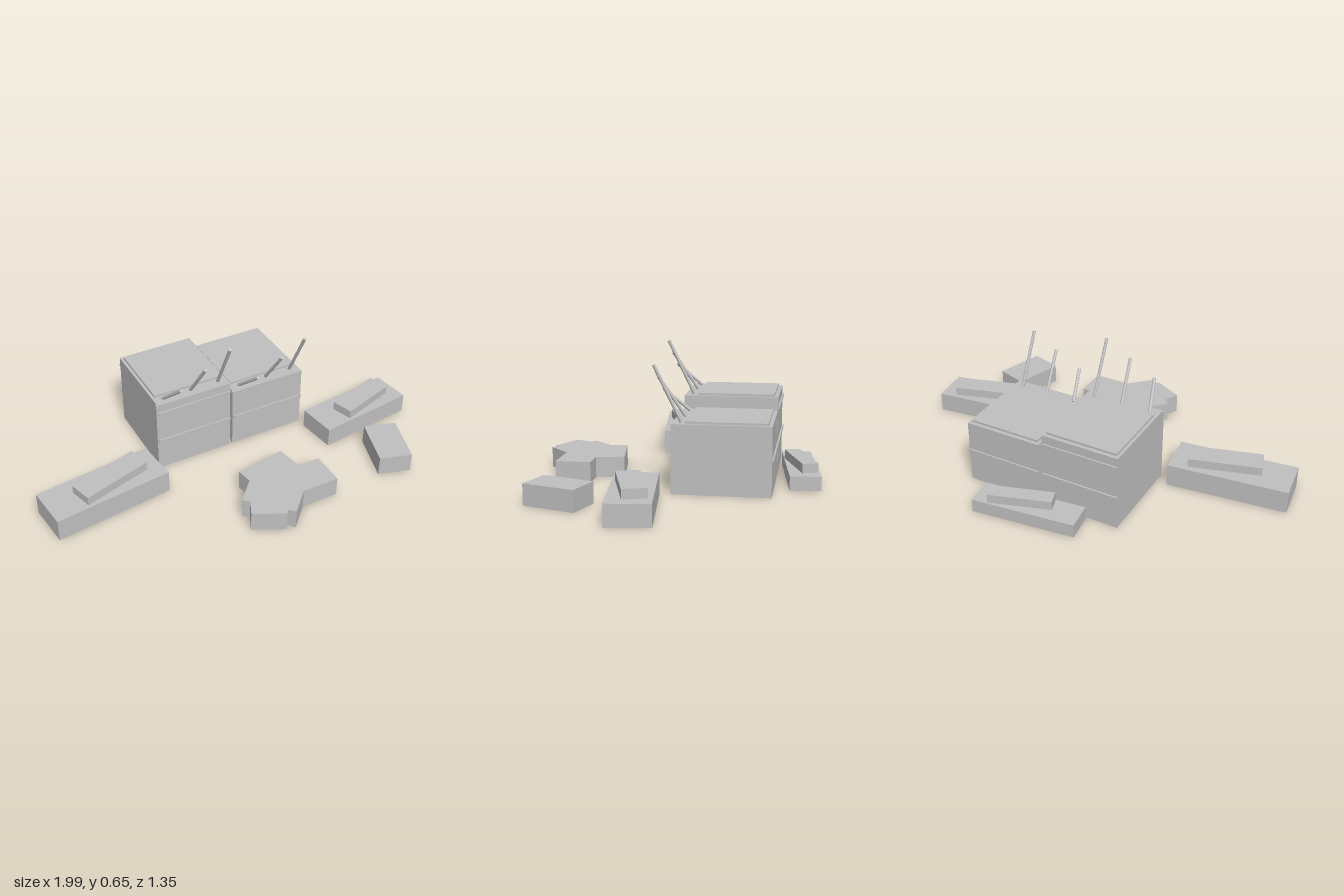
import * as THREE from 'three';

export function createModel() {
  const model = new THREE.Group();
  const grey = new THREE.MeshStandardMaterial({ color: 0xc0c0c0 });
  grey.name = 'stone grey';

  const add = (name, geometry, parent = model) => {
    const mesh = new THREE.Mesh(geometry, grey);
    mesh.name = name;
    parent.add(mesh);
    return mesh;
  };
  // Box given by its centre in plan, its base height and its size
  const block = (name, x, y, z, w, h, d, turn = 0, parent = model) => {
    const mesh = add(name, new THREE.BoxGeometry(w, h, d), parent);
    mesh.position.set(x, y + h / 2, z);
    mesh.rotation.y = turn;
    return mesh;
  };

  // Two crates with lids, battens, corner strips and leaning rods
  const zMid = -0.234, depth = 0.457, width = 0.395;
  const crates = [
    { name: 'tallCrate', x: -0.155, h: 0.386, battens: [0.17, 0.337],
      rods: [[-0.305, -0.265, 0.5], [-0.155, -0.135, 0.575], [-0.005, -0.005, 0.648]] },
    { name: 'lowCrate', x: 0.26, h: 0.324, battens: [0.17],
      rods: [[0.113, 0.15, 0.435], [0.268, 0.283, 0.51], [0.41, 0.41, 0.583]] },
  ];
  for (const c of crates) {
    const crate = new THREE.Group();
    crate.name = c.name;
    model.add(crate);
    block('crateBody', c.x, 0, zMid, width, c.h, depth, 0, crate);
    block('lid', c.x, c.h, -0.257, 0.365, 0.011, 0.373, 0, crate);
    for (const y of c.battens)
      for (const z of [-0.466, -0.002])
        block('batten', c.x, y - 0.006, z, width, 0.012, 0.009, 0, crate);
    block('cornerStrip', c.x - width / 2 - 0.003, 0, -0.011, 0.008, c.h, 0.012, 0, crate);
    for (const [x0, x1, top] of c.rods) {
      const from = new THREE.Vector3(x0, c.h - 0.002, -0.05);
      const to = new THREE.Vector3(x1, top, 0.078);
      const along = to.clone().sub(from);
      const rod = add('rod', new THREE.CylinderGeometry(0.008, 0.008, along.length(), 8), crate);
      rod.position.copy(from).add(to).multiplyScalar(0.5);
      rod.quaternion.setFromUnitVectors(new THREE.Vector3(0, 1, 0), along.normalize());
    }
  }

  // Low stepped slabs around the crates
  block('leftSlab', -0.692, 0, 0.094, 0.594, 0.115, 0.22, 0.118);
  block('leftSlabTop', -0.654, 0.115, 0.094, 0.357, 0.044, 0.117, 0.289);
  block('rightSlab', 0.726, 0, 0.113, 0.517, 0.1, 0.2, 0.122);
  block('rightSlabTop', 0.761, 0.1, 0.112, 0.307, 0.044, 0.11, 0.3);
  block('backSlab', 0.054, 0, -0.577, 0.517, 0.068, 0.146, 0.122);
  block('backSlabTop', 0.091, 0.068, -0.579, 0.31, 0.045, 0.077, 0.315);
  block('looseBlock', 0.697, 0, 0.449, 0.165, 0.1, 0.258, -0.3);

  // Cluster of merged blocks in front, outlined in plan as x, z
  const outline = [
    [-0.077, 0.307], [0.179, 0.267], [0.203, 0.403], [0.315, 0.403], [0.315, 0.571],
    [0.126, 0.571], [0.024, 0.673], [-0.005, 0.643], [-0.019, 0.665], [-0.168, 0.59],
    [-0.131, 0.515], [-0.16, 0.489], [-0.064, 0.387],
  ];
  const shape = new THREE.Shape(outline.map(([x, z]) => new THREE.Vector2(x, -z)));
  const cluster = new THREE.ExtrudeGeometry(shape, { depth: 0.1, bevelEnabled: false });
  add('frontCluster', cluster.rotateX(-Math.PI / 2));

  return model;
}
